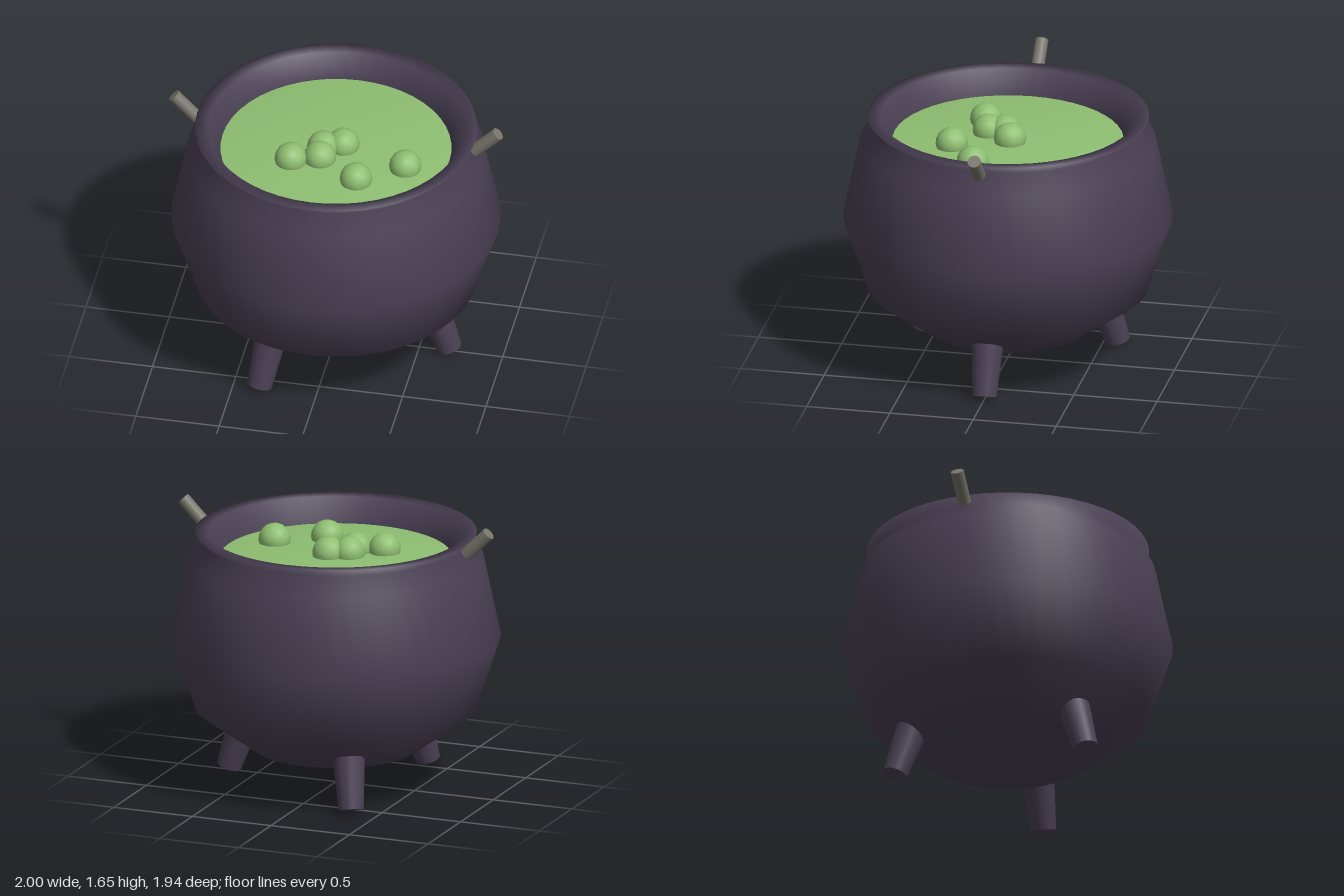
import * as THREE from 'three';

const iron = new THREE.MeshStandardMaterial({ color: 0x4a4054, side: THREE.DoubleSide });
const metal = new THREE.MeshStandardMaterial({ color: 0x77756a });
const brew = new THREE.MeshStandardMaterial({ color: 0x8fbf72 });

function part(name, geometry, material, parent) {
  const mesh = new THREE.Mesh(geometry, material);
  mesh.name = name;
  parent.add(mesh);
  return mesh;
}

function lathe(points, segments) {
  return new THREE.LatheGeometry(points.map(([r, y]) => new THREE.Vector2(r, y)), segments);
}

// Cylinder running between two points
function rod(name, from, to, rFrom, rTo, sides, material, parent) {
  const a = new THREE.Vector3(...from), b = new THREE.Vector3(...to);
  const dir = b.clone().sub(a);
  const mesh = part(name, new THREE.CylinderGeometry(rTo, rFrom, dir.length(), sides), material, parent);
  mesh.position.copy(a).add(b).multiplyScalar(0.5);
  mesh.quaternion.setFromUnitVectors(new THREE.Vector3(0, 1, 0), dir.normalize());
  return mesh;
}

export function createModel() {
  const model = new THREE.Group();
  model.name = 'cauldron';

  // Pot: belly, pinched neck, flared rim and inner lip
  part('pot', lathe([
    [0, 0.225], [0.49, 0.225], [0.83, 0.47], [0.97, 0.905], [0.87, 1.385],
    [0.78, 1.485], [0.83, 1.535], [0.75, 1.53], [0.68, 1.385], [0.68, 1.3],
  ], 48), iron, model);

  // Liquid: a shallow plug filling the neck, softly shaded at its edge
  part('liquid', lathe([[0.68, 1.3], [0.685, 1.385], [0, 1.385]], 48), brew, model);

  // Half-sunk bubbles
  const bubbles = new THREE.Group();
  bubbles.name = 'bubbles';
  model.add(bubbles);
  const spots = [[-0.235, 0.18], [-0.07, 0.13], [-0.07, 0.03], [0.04, -0.02], [0.18, 0.3], [0.44, 0.12]];
  for (const [x, z] of spots) {
    part('bubble', new THREE.IcosahedronGeometry(0.096, 2), brew, bubbles).position.set(x, 1.407, z);
  }

  // Three splayed, tapered legs
  for (let i = 0; i < 3; i++) {
    const leg = new THREE.Group();
    leg.name = 'leg';
    leg.rotation.y = (i * Math.PI * 2) / 3;
    rod('legPost', [0.68, 0.025, 0], [0.58, 0.32, 0], 0.075, 0.095, 16, iron, leg);
    model.add(leg);
  }

  // Handle pegs leaning out from the rim
  for (const side of [1, -1]) {
    rod(side > 0 ? 'leftHandle' : 'rightHandle',
      [side * 0.83, 1.485, 0], [side * 0.972, 1.628, 0], 0.039, 0.039, 16, metal, model);
  }

  return model;
}
